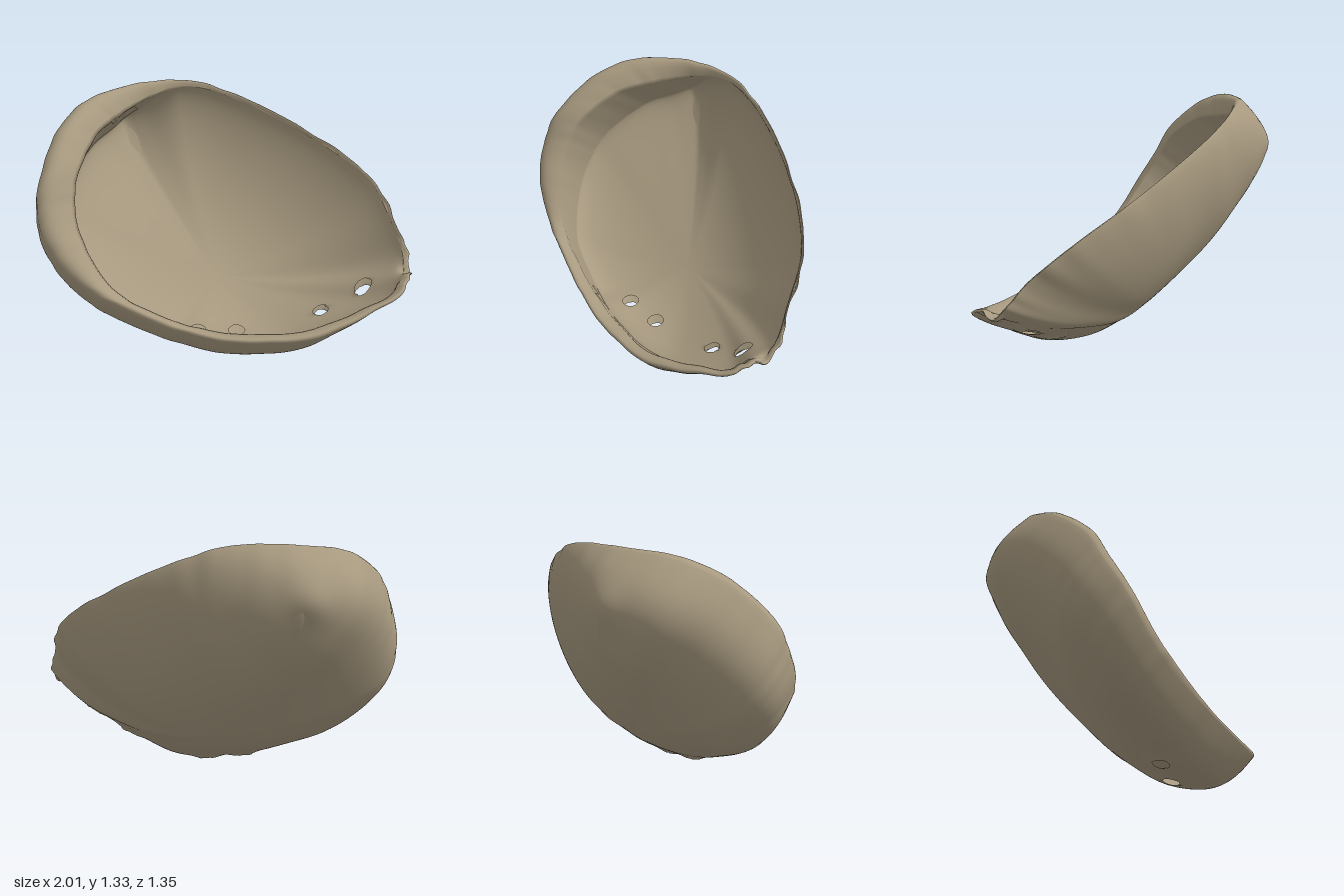
import * as THREE from 'three';

// Stations around the mouth: rim crest xyz, inner lip edge xyz, wall softness
const STATIONS = [
  [0.99, 0.53, 0.36, 0.96, 0.52, 0.35, 0.85],
  [0.95, 0.67, 0.24, 0.93, 0.66, 0.22, 0.85],
  [0.87, 0.86, 0.02, 0.85, 0.85, 0.01, 0.82],
  [0.60, 1.05, -0.24, 0.58, 1.03, -0.25, 0.78],
  [0.20, 1.24, -0.47, 0.19, 1.21, -0.47, 0.68],
  [-0.10, 1.33, -0.54, -0.10, 1.29, -0.53, 0.52],
  [-0.42, 1.34, -0.51, -0.35, 1.22, -0.48, 0.34],
  [-0.70, 1.31, -0.37, -0.49, 1.165, -0.38, 0.27],
  [-0.87, 1.20, -0.19, -0.62, 1.12, -0.25, 0.32],
  [-0.98, 1.00, 0.01, -0.74, 0.99, -0.07, 0.32],
  [-1.00, 0.82, 0.11, -0.78, 0.83, 0.03, 0.31],
  [-0.94, 0.65, 0.21, -0.75, 0.65, 0.14, 0.31],
  [-0.80, 0.48, 0.29, -0.62, 0.43, 0.27, 0.3],
  [-0.60, 0.37, 0.38, -0.40, 0.30, 0.36, 0.27],
  [-0.30, 0.27, 0.50, -0.20, 0.24, 0.43, 0.25],
  [0.00, 0.23, 0.60, 0.02, 0.22, 0.50, 0.25],
  [0.40, 0.26, 0.67, 0.36, 0.26, 0.59, 0.36],
  [0.83, 0.41, 0.61, 0.78, 0.38, 0.55, 0.75],
  [0.95, 0.49, 0.50, 0.91, 0.47, 0.47, 0.83],
];

// Breathing holes: x, z, radius
const HOLES = [[-0.17, 0.21, 0.046], [0.05, 0.23, 0.046], [0.52, 0.29, 0.043], [0.75, 0.32, 0.045]];
const SPIRE = new THREE.Vector3(-0.48, 1.05, -0.62);
const NOTCH = new THREE.Vector3(0.97, 0.5, 0.42);
// Deepest point of the bowl, in the tilted frame
const FLOOR = new THREE.Vector3(0, -0.2, -0.41);

const AROUND = 240, BOWL = 60, LIP = 16;

// Tilted frame: x across, y up the mouth, z out of the mouth
const toLocal = (x, y, z) => new THREE.Vector3(x, 0.67 * (y - 0.67) - 0.74 * z, 0.74 * (y - 0.67) + 0.67 * z);
const toWorld = (p) => new THREE.Vector3(p.x, 0.67 + 0.67 * p.y + 0.74 * p.z, -0.74 * p.y + 0.67 * p.z);
const loop = (points) => new THREE.CatmullRomCurve3(points, true, 'catmullrom', 0.5);

// Point on a bowl wall, s = 0 at the floor and 1 at its rim
function bowlPoint(rim, s, k, lift, bulge) {
  const h = 1 - Math.pow(Math.max(0, 1 - s * s), k);
  const swell = s * (1 + bulge * Math.sin(Math.PI * h));
  const bottom = FLOOR.z + lift;
  return new THREE.Vector3(
    FLOOR.x + (rim.x - FLOOR.x) * swell,
    FLOOR.y + (rim.y - FLOOR.y) * swell,
    bottom + (rim.z - bottom) * h);
}

function shellGeometry() {
  const rims = loop(STATIONS.map((a) => toLocal(a[0], a[1], a[2])));
  const edges = loop(STATIONS.map((a) => toLocal(a[3], a[4], a[5])));
  const softness = loop(STATIONS.map((a) => new THREE.Vector3(a[6], 0, 0)));
  const rings = 2 * (BOWL + 1) + LIP - 1;
  const pos = [], inHole = [], index = [];

  for (let i = 0; i < rings; i++) {
    for (let j = 0; j < AROUND; j++) {
      const t = j / AROUND, a = t * Math.PI * 2;
      const rim = rims.getPoint(t), edge = edges.getPoint(t);
      const k = softness.getPoint(t).x;
      const width = rim.distanceTo(edge);
      const shelf = THREE.MathUtils.smoothstep(width, 0.05, 0.2);
      const outer = i <= BOWL, inner = i >= BOWL + LIP;
      let p, s = 1;
      if (outer) {
        s = 1 - Math.pow(1 - i / BOWL, 2.4);
        rim.z -= 0.2 * width;
        p = bowlPoint(rim, s, k, 0, Math.max(0, 0.5 - k) * 0.1);
        // Faint diagonal growth ridges
        p.z += 0.004 * s * (1 - s) * 4 * Math.sin(13 * p.x - 7 * p.y + 2 * Math.sin(4 * p.y));
      } else if (inner) {
        // Bowl lining, tucked back under the shelf
        s = 1 - Math.pow((i - BOWL - LIP) / BOWL, 2.4);
        const tuck = 0.1 * shelf;
        edge.x += (edge.x - FLOOR.x) * tuck;
        edge.y += (edge.y - FLOOR.y) * tuck;
        edge.z -= shelf * 0.5 * (edge.z - FLOOR.z);
        p = bowlPoint(edge, s, k + (1 - k) * (0.12 + 0.28 * shelf), 0.025, 0);
      } else {
        // Rounded lip rolling inwards
        const u = (i - BOWL) / LIP, v = 1 - u;
        const mid = rim.clone().lerp(edge, 0.25);
        mid.z = Math.max(rim.z, edge.z) + 0.25 * width;
        rim.z -= 0.2 * width;
        p = rim.multiplyScalar(v * v).addScaledVector(mid, 2 * u * v).addScaledVector(edge, u * u);
      }

      // Uneven growth scallops, strongest on the thin side of the rim
      if (!inner) {
        const wave = 0.005 * Math.sin(17 * a) + 0.004 * Math.sin(29 * a + 1) + 0.003 * Math.sin(43 * a);
        const scallop = 1 + wave * Math.pow(s, 8) * Math.max(0.3, k);
        p.x *= scallop;
        p.y *= scallop;
      }

      const q = toWorld(p);
      // Half-formed hole notched into the rim
      q.y -= 0.05 * Math.exp(-q.distanceToSquared(NOTCH) / 0.0025);
      // Pointed spire on the back
      if (outer) q.z -= 0.035 * Math.exp(-q.distanceToSquared(SPIRE) / 0.01);
      let hit = 0;
      if (outer || inner) {
        HOLES.forEach(([hx, hz, r], n) => {
          if (q.y > 0.6) return;
          const dx = q.x - hx, dz = q.z - hz, d = Math.hypot(dx, dz);
          // Raised collar on the outside, then open the hole
          if (outer && d < 2.2 * r) q.y -= 0.014 * (1 - Math.max(0, d / r - 1) / 1.2);
          if (d < r) {
            hit = n + 1;
            q.x = hx + dx / (d || 1) * r;
            q.z = hz + dz / (d || 1) * r;
          }
        });
      }
      pos.push(q.x, q.y, q.z);
      inHole.push(hit);
    }
  }

  const face = (a, b, c) => {
    if (!(inHole[a] && inHole[b] && inHole[c])) index.push(a, b, c);
  };
  for (let i = 0; i < rings - 1; i++) {
    for (let j = 0; j < AROUND; j++) {
      const j2 = (j + 1) % AROUND;
      const a = i * AROUND + j, b = i * AROUND + j2;
      const c = a + AROUND, d = b + AROUND;
      // The first and last rings close to a point
      if (i > 0) face(a, b, c);
      if (i < rings - 2) face(b, d, c);
    }
  }

  const g = new THREE.BufferGeometry();
  g.setAttribute('position', new THREE.Float32BufferAttribute(pos, 3));
  g.setIndex(index);
  g.computeVertexNormals();
  // Stand on the ground, centred
  g.computeBoundingBox();
  const { min, max } = g.boundingBox;
  g.translate(-(min.x + max.x) / 2, -min.y, -(min.z + max.z) / 2);
  return g;
}

export function createModel() {
  const group = new THREE.Group();
  group.name = 'seaShell';
  const material = new THREE.MeshStandardMaterial({ color: 0xa89a80, side: THREE.DoubleSide });
  material.name = 'shellBeige';
  const shell = new THREE.Mesh(shellGeometry(), material);
  shell.name = 'shell';
  group.add(shell);
  return group;
}
